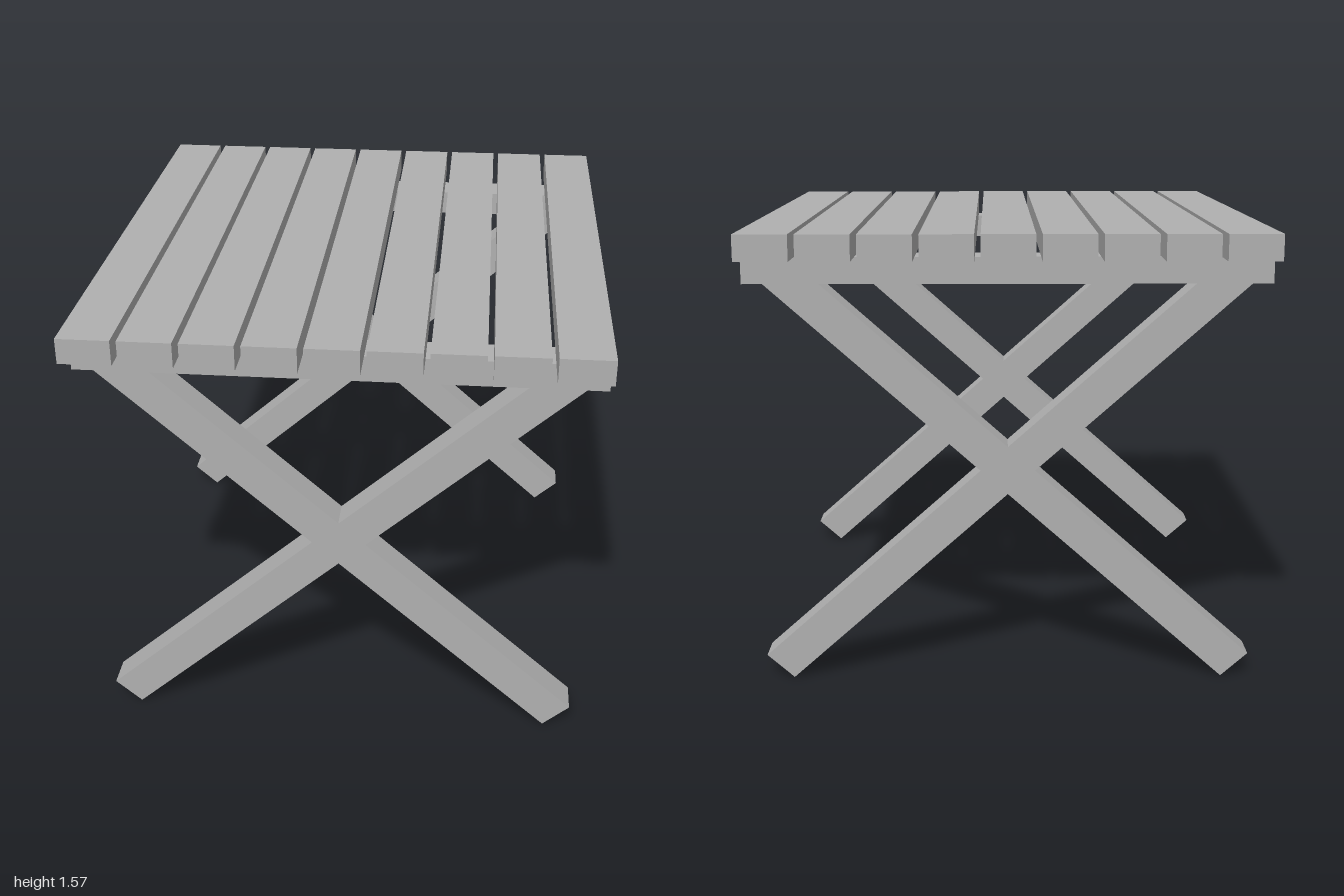
import * as THREE from 'three';

export function createModel() {
  const table = new THREE.Group();
  table.name = 'picnicTable';
  const wood = new THREE.MeshStandardMaterial({ color: 0xb0b0b0 });
  wood.name = 'greyWood';

  const topY = 1.57, slatBottom = 1.482, beamBottom = 1.392;
  const halfWidth = 0.884;

  function addBox(name, w, h, d, x, y, z) {
    const mesh = new THREE.Mesh(new THREE.BoxGeometry(w, h, d), wood);
    mesh.name = name;
    mesh.position.set(x, y, z);
    table.add(mesh);
  }

  // Nine tabletop slats running front to back
  const slats = 9, slatWidth = 0.178;
  const pitch = (halfWidth * 2 - slatWidth) / (slats - 1);
  for (let i = 0; i < slats; i++) {
    addBox('slat', slatWidth, topY - slatBottom, 2,
      (i - (slats - 1) / 2) * pitch, (topY + slatBottom) / 2, 0);
  }

  // Outline of a pair of crossed legs; feet are cut parallel to the opposite leg
  const slope = 0.889, upper = 0.833, lower = 0.667;
  const crossY = (upper + lower) / 2;
  const crossX = (upper - lower) / 2 / slope;
  const footX = lower / slope;
  const right = [
    [0, lower],
    [footX, 0],
    [footX + crossX, crossX * slope],
    [crossX, crossY],
    [(beamBottom - lower) / slope, beamBottom],
    [(beamBottom - upper) / slope, beamBottom],
    [0, upper],
  ];
  const left = right.slice(1, -1).reverse().map(([x, y]) => [-x, y]);
  const outline = new THREE.Shape([...right, ...left].map(([x, y]) => new THREE.Vector2(x, y)));
  const legDepth = 0.115;
  const legGeometry = new THREE.ExtrudeGeometry(outline, { depth: legDepth, bevelEnabled: false });
  legGeometry.translate(0, 0, -legDepth / 2);

  // Crossed legs and the support beam above them, front and back
  for (const [side, z] of [['front', 0.795], ['back', -0.795]]) {
    addBox(side + 'Beam', halfWidth * 2, slatBottom - beamBottom, 0.128,
      0, (slatBottom + beamBottom) / 2, z);
    const legs = new THREE.Mesh(legGeometry, wood);
    legs.name = side + 'CrossedLegs';
    legs.position.z = z;
    table.add(legs);
  }

  return table;
}
